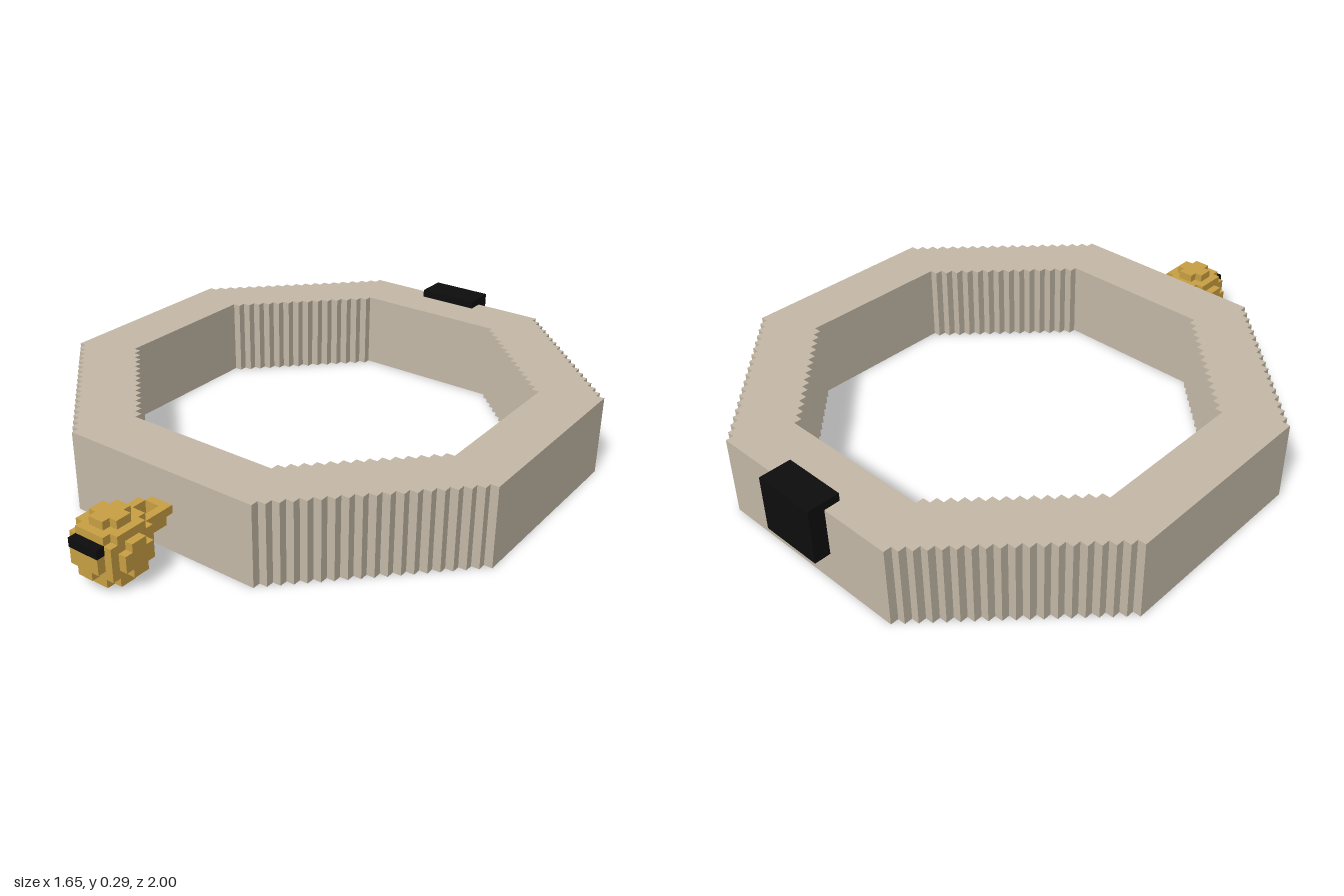
import * as THREE from 'three';
import { mergeGeometries } from 'three/addons/utils/BufferGeometryUtils.js';

const U = 2 / 75; // grid unit

// Box between two corners given in grid units, grown by an optional margin
function block([x0, y0, z0], [x1, y1, z1], grow = 0) {
  const g = new THREE.BoxGeometry((x1 - x0) * U + grow, (y1 - y0) * U + grow, (z1 - z0) * U + grow);
  return g.translate((x0 + x1) / 2 * U, (y0 + y1) / 2 * U, (z0 + z1) / 2 * U);
}

// Octagon outline whose diagonals are unit stairs
function steppedOctagon(flat, reach) {
  const quarter = [];
  for (let k = 0; k < reach - flat; k++) {
    quarter.push([reach - k, flat + k], [reach - k - 1, flat + k]);
  }
  quarter.push([flat, reach]);
  const points = [];
  for (let q = 0; q < 4; q++) {
    for (const [x, y] of quarter) {
      const [a, b] = [[x, y], [-y, x], [-x, -y], [y, -x]][q];
      points.push(new THREE.Vector2(a * U, b * U));
    }
  }
  return points;
}

export function createModel() {
  const model = new THREE.Group();
  const tan = new THREE.MeshStandardMaterial({ name: 'tan', color: 0xc5baa8 });
  const gold = new THREE.MeshStandardMaterial({ name: 'gold', color: 0xc9a043 });
  const black = new THREE.MeshStandardMaterial({ name: 'black', color: 0x0d0d0d });

  const add = (name, geometry, material, parent = model) => {
    const mesh = new THREE.Mesh(geometry, material);
    mesh.name = name;
    parent.add(mesh);
    return mesh;
  };

  // Collar band
  const shape = new THREE.Shape(steppedOctagon(13, 31));
  shape.holes.push(new THREE.Path(steppedOctagon(10, 24).reverse()));
  const band = new THREE.ExtrudeGeometry(shape, { depth: 10 * U, bevelEnabled: false });
  band.rotateX(-Math.PI / 2);
  add('band', band, tan).position.z = -4.5 * U;

  // Buckle at the back
  add('buckle', block([-4, 4, -37.5], [4, 11, -33.5]), black);

  // Bell: a blocky ball made of crossed boxes, hung in front of the band
  const bell = new THREE.Group();
  bell.name = 'bell';
  bell.position.set(0, 4 * U, 33.5 * U);
  model.add(bell);
  const halves = [
    [4, 2, 1], [4, 1, 2], [2, 4, 1], [1, 4, 2], [2, 1, 4], [1, 2, 4],
    [3, 3, 2], [3, 2, 3], [2, 3, 3],
  ];
  add('bellBall', mergeGeometries(halves.map(h => block(h.map(v => -v), h))), gold, bell);
  add('bellSlot', block([-2, 1, 3], [2, 2, 4], 0.003), black, bell);

  // Loop joining the bell to the band
  add('bellLoop', mergeGeometries([
    block([-2, 0, -6], [-1, 2, -3]),
    block([1, 0, -6], [2, 2, -3]),
    block([-1, 0, -7], [1, 2, -6]),
    block([1, 1, -7], [2, 2, -6]),
  ]), gold, bell);

  return model;
}
